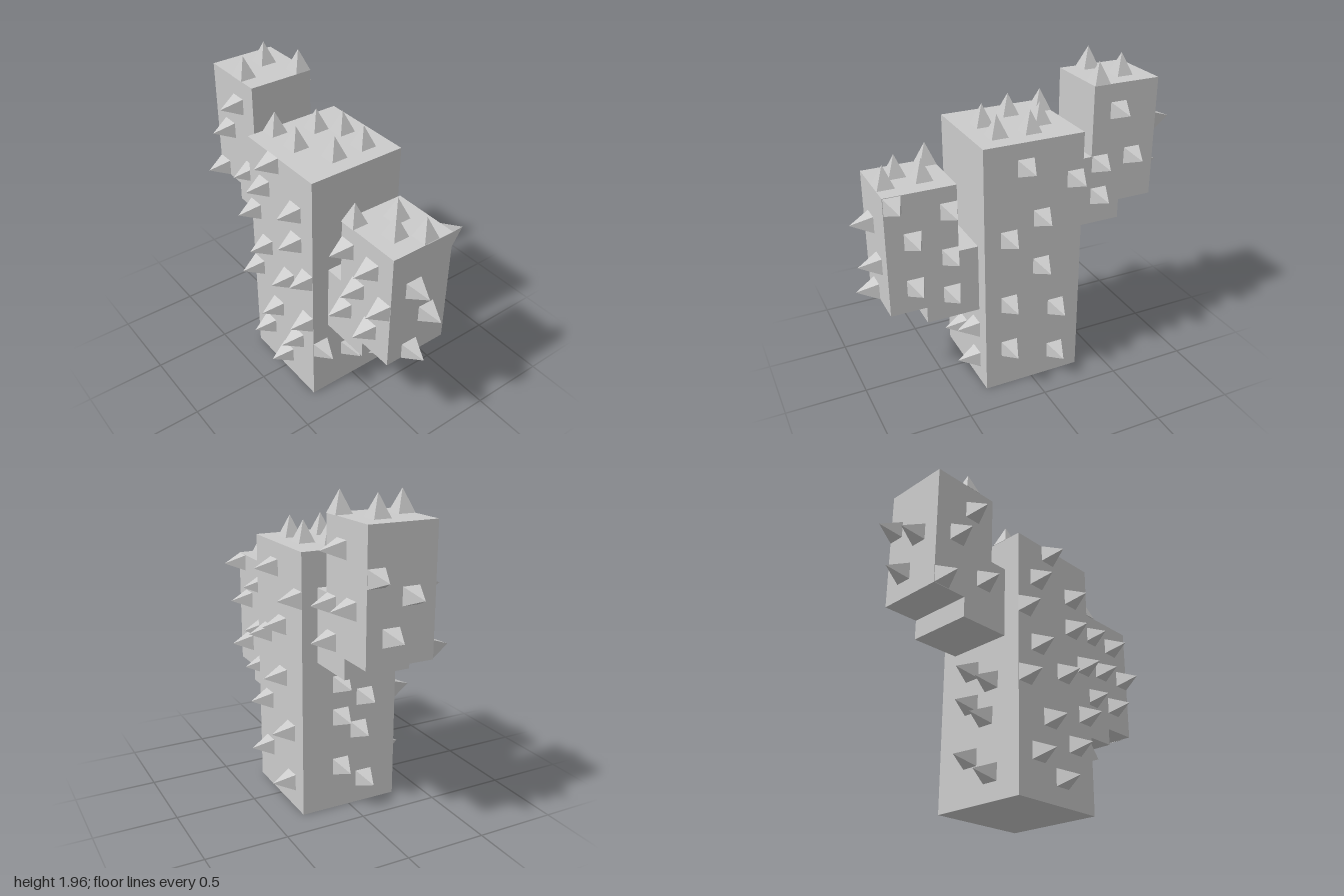
import * as THREE from 'three';

const material = new THREE.MeshStandardMaterial({ color: 0xcccccc, flatShading: true });

// Square pyramid spike: base centred on the origin, pointing up +y
const SPIKE_HEIGHT = 0.13;
const spikeGeometry = new THREE.ConeGeometry(0.052 * Math.SQRT2, SPIKE_HEIGHT, 4, 1);
spikeGeometry.rotateY(Math.PI / 4);
spikeGeometry.translate(0, SPIKE_HEIGHT / 2, 0);

const UP = new THREE.Vector3(0, 1, 0);

// Plants spikes on one flat side; "axis" is the side's normal axis, "level" its
// position on that axis, and each spot gives the two other coordinates in xyz order
function addSpikes(parent, name, axis, sign, level, spots) {
  const group = new THREE.Group();
  group.name = name;
  const normal = new THREE.Vector3().setComponent(axis, sign);
  for (const [a, b] of spots) {
    const spike = new THREE.Mesh(spikeGeometry, material);
    spike.name = 'spike';
    const p = [a, b];
    p.splice(axis, 0, level);
    spike.position.fromArray(p);
    spike.quaternion.setFromUnitVectors(UP, normal);
    group.add(spike);
  }
  parent.add(group);
}

// Bent arm: an elbow outline with constant depth
function addArm(parent, name, outline) {
  const shape = new THREE.Shape(outline.map(([x, y]) => new THREE.Vector2(x, y)));
  const geometry = new THREE.ExtrudeGeometry(shape, { depth: 0.415, bevelEnabled: false });
  geometry.translate(0, 0, ARM_BACK);
  const mesh = new THREE.Mesh(geometry, material);
  mesh.name = name;
  parent.add(mesh);
}

const ARM_BACK = -0.213, ARM_FRONT = 0.202;
const X = 0, Y = 1, Z = 2;

export function createModel() {
  const model = new THREE.Group();
  model.name = 'blockCactus';

  // Trunk
  const trunk = new THREE.Group();
  trunk.name = 'trunk';
  const trunkBody = new THREE.Mesh(new THREE.BoxGeometry(0.63, 1.61, 0.625), material);
  trunkBody.name = 'trunkBody';
  trunkBody.position.set(-0.005, 0.805, 0.002);
  trunk.add(trunkBody);
  addSpikes(trunk, 'trunkFrontSpikes', Z, 1, 0.314, [
    [-0.06, 1.56], [-0.165, 1.35], [0.15, 1.34], [-0.27, 1.13], [0.15, 1.13],
    [-0.16, 0.92], [0.255, 0.915], [0.065, 0.805], [-0.265, 0.7], [0.255, 0.59],
    [-0.06, 0.49], [0.155, 0.38], [-0.16, 0.27], [0.035, 0.16],
  ]);
  addSpikes(trunk, 'trunkBackSpikes', Z, -1, -0.31, [
    [0.05, 1.46], [-0.27, 1.335], [-0.055, 1.13], [0.155, 1.03], [-0.055, 0.81],
    [0.155, 0.59], [-0.16, 0.49], [0.155, 0.27], [-0.16, 0.165],
  ]);
  addSpikes(trunk, 'trunkLeftSpikes', X, 1, 0.31, [
    [0.38, 0.26], [0.385, -0.165], [0.275, 0.045], [0.16, -0.165],
  ]);
  addSpikes(trunk, 'trunkRightSpikes', X, -1, -0.32, [
    [0.805, -0.06], [0.7, 0.1], [0.597, -0.06], [0.495, 0.06], [0.275, -0.06], [0.16, 0.1],
  ]);
  addSpikes(trunk, 'trunkTopSpikes', Y, 1, 1.61, [
    [-0.045, -0.165], [0.16, -0.155], [-0.16, -0.06], [0.16, 0.05], [-0.27, 0.157], [-0.056, 0.157],
  ]);
  model.add(trunk);

  // Lower arm on the left side (+x)
  const leftArm = new THREE.Group();
  leftArm.name = 'leftArm';
  addArm(leftArm, 'leftArmBody', [
    [0.3, 0.535], [0.64, 0.535], [0.64, 0.64], [0.86, 0.64],
    [0.86, 1.39], [0.43, 1.39], [0.43, 0.97], [0.3, 0.97],
  ]);
  addSpikes(leftArm, 'leftArmFrontSpikes', Z, 1, ARM_FRONT, [
    [0.485, 1.24], [0.695, 1.23], [0.585, 1.02], [0.805, 1.025], [0.48, 0.805], [0.7, 0.805],
  ]);
  addSpikes(leftArm, 'leftArmBackSpikes', Z, -1, ARM_BACK, [
    [0.805, 1.335], [0.48, 1.24], [0.7, 1.1], [0.48, 0.95], [0.7, 0.8], [0.48, 0.7],
  ]);
  addSpikes(leftArm, 'leftArmOuterSpikes', X, 1, 0.86, [
    [1.135, 0.047], [0.915, -0.06], [0.69, 0.047],
  ]);
  addSpikes(leftArm, 'leftArmTopSpikes', Y, 1, 1.39, [
    [0.58, -0.06], [0.805, -0.065], [0.7, 0.055], [0.48, 0.155],
  ]);
  model.add(leftArm);

  // Higher arm on the right side (-x)
  const rightArm = new THREE.Group();
  rightArm.name = 'rightArm';
  addArm(rightArm, 'rightArmBody', [
    [-0.3, 1.4], [-0.433, 1.4], [-0.433, 1.833], [-0.865, 1.833],
    [-0.865, 1.08], [-0.64, 1.08], [-0.64, 0.957], [-0.3, 0.957],
  ]);
  addSpikes(rightArm, 'rightArmFrontSpikes', Z, 1, ARM_FRONT, [
    [-0.595, 1.665], [-0.71, 1.455], [-0.495, 1.24], [-0.81, 1.135],
  ]);
  addSpikes(rightArm, 'rightArmBackSpikes', Z, -1, ARM_BACK, [
    [-0.6, 1.67], [-0.49, 1.35], [-0.71, 1.37], [-0.49, 1.14],
  ]);
  addSpikes(rightArm, 'rightArmOuterSpikes', X, -1, -0.865, [
    [1.56, -0.16], [1.45, 0.05], [1.24, -0.065],
  ]);
  addSpikes(rightArm, 'rightArmTopSpikes', Y, 1, 1.833, [
    [-0.7, -0.06], [-0.485, -0.165], [-0.596, 0.152],
  ]);
  model.add(rightArm);

  return model;
}
